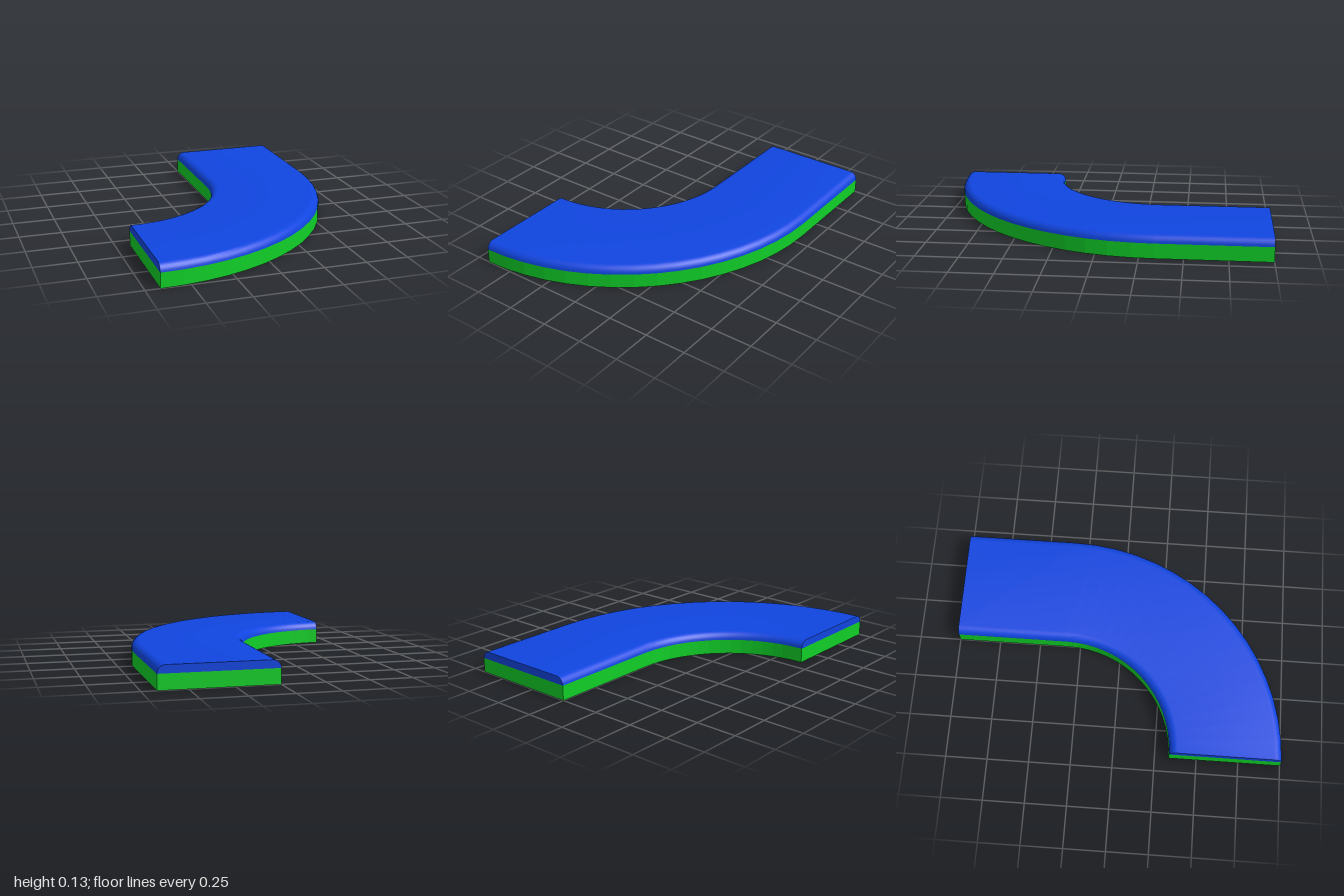
import * as THREE from 'three';
import { toCreasedNormals } from 'three/addons/utils/BufferGeometryUtils.js';

const CENTER = -2 / 3, CENTER_Z = -1 / 3; // centre of the bend
const INNER = 2 / 3, OUTER = 4 / 3;       // radii of the two edges
const SEGMENTS = 16;

// Sweep a convex, counter-clockwise profile of [radius, y] along bend and straight
function sweep(profile) {
  const rings = [];
  for (let i = 0; i <= SEGMENTS; i++) {
    const a = (Math.PI / 2) * (1 - i / SEGMENTS);
    rings.push(profile.map(([r, y]) => [CENTER + r * Math.cos(a), y, CENTER_Z + r * Math.sin(a)]));
  }
  rings.push(profile.map(([r, y]) => [CENTER + r, y, -1]));

  const n = profile.length, pos = [];
  const tri = (a, b, c) => pos.push(...a, ...b, ...c);
  for (let i = 0; i < rings.length - 1; i++) {
    const p = rings[i], q = rings[i + 1];
    for (let j = 0; j < n; j++) {
      const k = (j + 1) % n;
      tri(p[j], q[j], q[k]);
      tri(p[j], q[k], p[k]);
    }
  }
  // flat end caps
  const first = rings[0], last = rings[rings.length - 1];
  for (let j = 1; j < n - 1; j++) {
    tri(first[0], first[j], first[j + 1]);
    tri(last[0], last[j + 1], last[j]);
  }
  const geometry = new THREE.BufferGeometry();
  geometry.setAttribute('position', new THREE.Float32BufferAttribute(pos, 3));
  geometry.computeVertexNormals();
  return geometry;
}

export function createModel() {
  const group = new THREE.Group();
  group.name = 'curvedTrack';
  const split = 0.088, top = 0.134, round = top - split;

  // faceted green base slab
  const base = new THREE.Mesh(
    sweep([[INNER, 0], [OUTER, 0], [OUTER, split], [INNER, split]]),
    new THREE.MeshStandardMaterial({ color: 0x10d028, flatShading: true })
  );
  base.name = 'base';

  // blue surface with rounded long edges
  const profile = [];
  const corner = (r, from) => {
    for (let i = 0; i <= 6; i++) {
      const a = from + (Math.PI / 2) * (i / 6);
      profile.push([r + round * Math.cos(a), split + round * Math.sin(a)]);
    }
  };
  corner(OUTER - round, 0);
  corner(INNER + round, Math.PI / 2);
  const surface = new THREE.Mesh(
    toCreasedNormals(sweep(profile), Math.PI / 6),
    new THREE.MeshStandardMaterial({ color: 0x1045e0 })
  );
  surface.name = 'surface';

  group.add(base, surface);
  return group;
}
